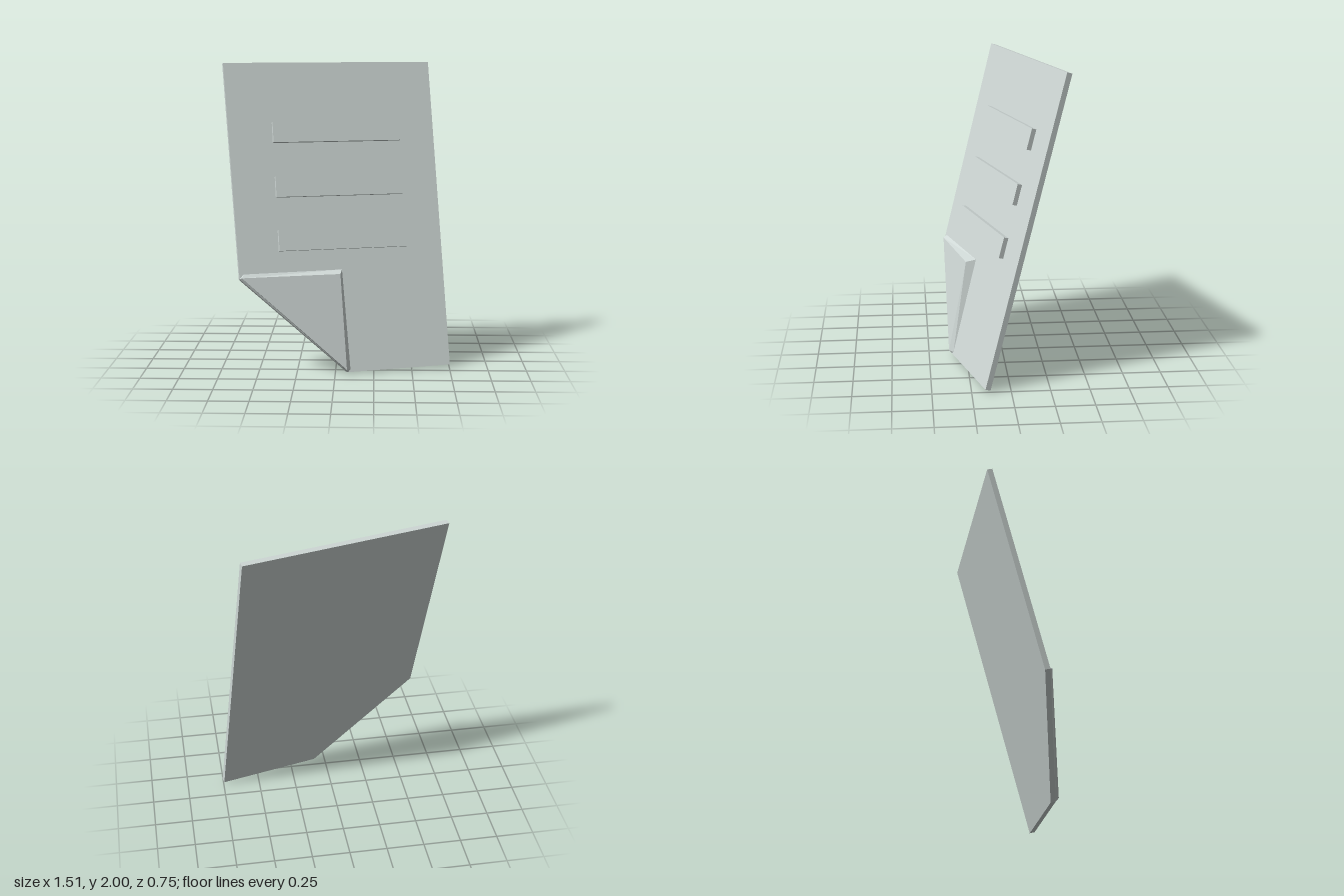
import * as THREE from 'three';

export function createModel() {
  const model = new THREE.Group();
  model.name = 'documentSheet';
  const paper = new THREE.MeshStandardMaterial({ color: 0xcfd8d6 });
  paper.name = 'pale grey paper';

  // The page is built flat (front surface at z = 0), then turned and leaned back.
  const page = new THREE.Group();
  page.name = 'page';
  page.rotation.set(-Math.PI / 12, Math.PI / 12, 0, 'YXZ');
  page.position.set(0.0025, 1.01, 0.09);
  model.add(page);

  const add = (name, geometry) => {
    const mesh = new THREE.Mesh(geometry, paper);
    mesh.name = name;
    page.add(mesh);
    return mesh;
  };

  // Sheet with its lower right corner cut along the fold
  const outline = [[-0.705, 1.025], [-0.668, -0.4], [0.012, -1.035], [0.707, -1.025], [0.7, 1.025]];
  const sheet = new THREE.ExtrudeGeometry(
    new THREE.Shape(outline.map(([x, y]) => new THREE.Vector2(x, y))),
    { depth: 0.035, bevelEnabled: false }
  );
  sheet.translate(0, 0, -0.035);
  add('sheet', sheet);

  // Raised text lines
  const depth = 0.03;
  [0.554, 0.192, -0.161].forEach((y, i) => {
    add(`textLine${i + 1}`, new THREE.BoxGeometry(0.86, 0.137, depth + 0.01))
      .position.set(0.028, y, (depth - 0.01) / 2);
  });

  // Folded corner: a tilted triangle with thick edges, closed along the crease
  const p = {
    leftFront: [-0.655, -0.395, 0.015], cornerFront: [-0.013, -0.398, 0.056], bottomFront: [0, -1.02, 0.022],
    leftBack: [-0.64, -0.37, 0], cornerBack: [0.0126, -0.364, 0], bottomBack: [0.029, -1.016, 0],
    creaseLeft: [-0.668, -0.4, 0], creaseBottom: [0.012, -1.035, 0],
  };
  const faces = [
    [p.leftFront, p.bottomFront, p.cornerFront],
    [p.leftFront, p.creaseLeft, p.creaseBottom, p.bottomFront],
    [p.leftFront, p.cornerFront, p.cornerBack, p.leftBack],
    [p.cornerFront, p.bottomFront, p.bottomBack, p.cornerBack],
    [p.leftFront, p.leftBack, p.creaseLeft],
    [p.bottomFront, p.creaseBottom, p.bottomBack],
  ];
  const positions = [];
  for (const f of faces) {
    for (let i = 1; i < f.length - 1; i++) positions.push(...f[0], ...f[i], ...f[i + 1]);
  }
  const flap = new THREE.BufferGeometry();
  flap.setAttribute('position', new THREE.Float32BufferAttribute(positions, 3));
  flap.computeVertexNormals();
  add('foldedCorner', flap);

  return model;
}
